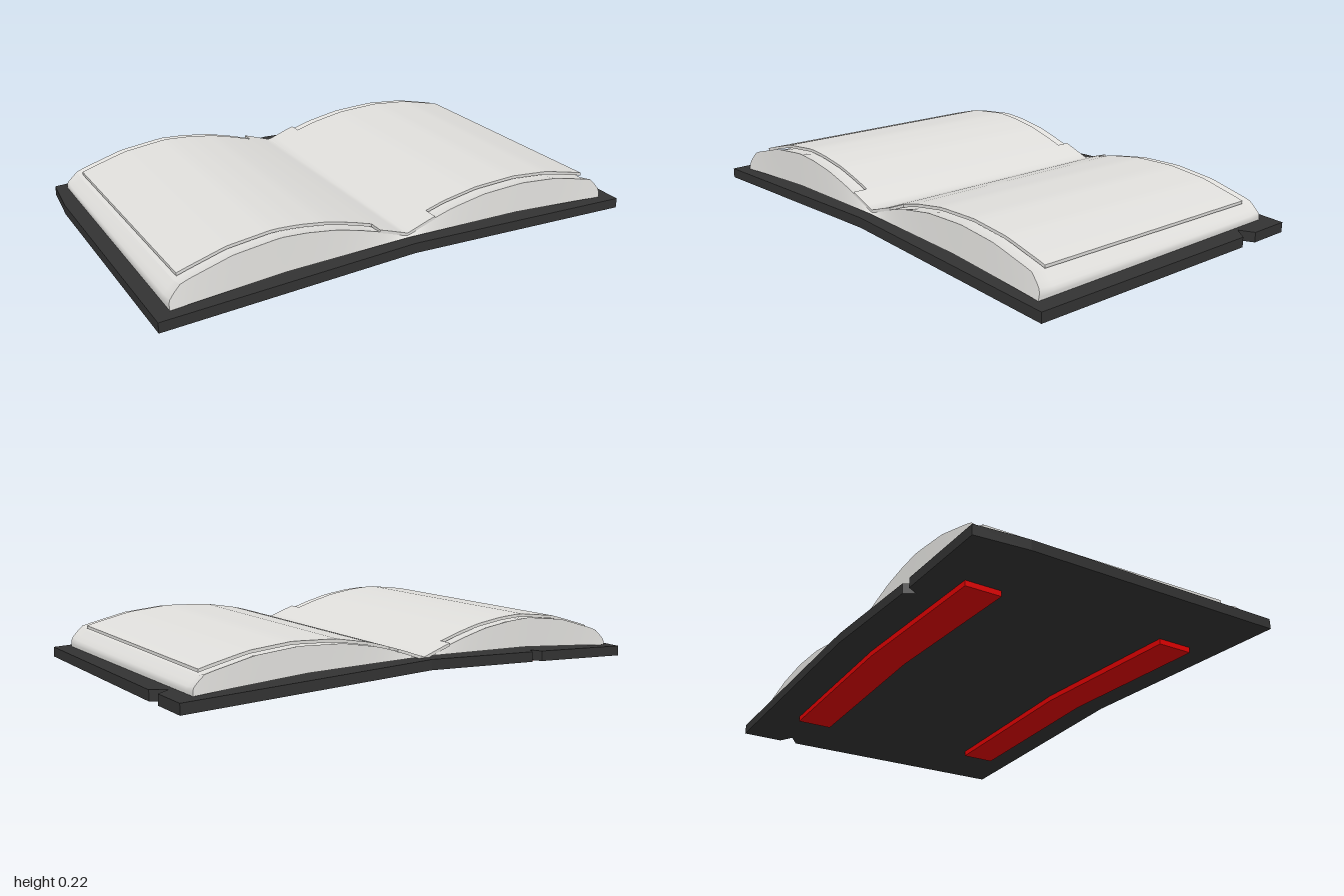
import * as THREE from 'three';

const mat = (name, color, side = THREE.FrontSide) => {
  const m = new THREE.MeshStandardMaterial({ color, side });
  m.name = name;
  return m;
};

// Piecewise linear lookup in a list of [x, y] points
function lookup(points, x) {
  for (let i = 1; i < points.length; i++) {
    const [x0, y0] = points[i - 1], [x1, y1] = points[i];
    if (x <= x1) return y0 + (y1 - y0) * (x - x0) / (x1 - x0);
  }
  return points[points.length - 1][1];
}

// Move every vertex of a geometry by a rule
function bend(geometry, rule) {
  const p = geometry.attributes.position;
  for (let i = 0; i < p.count; i++) p.setXYZ(i, ...rule(p.getX(i), p.getY(i), p.getZ(i)));
  geometry.computeVertexNormals();
  return geometry;
}

// The cover rises gently toward the spine
const coverRise = x => 0.04 * (1 - Math.abs(x));

// Curved top of the pages, measured outward from the spine
const topCurves = {
  left: [[0, 0.108], [0.1, 0.143], [0.2, 0.174], [0.3, 0.2], [0.42, 0.217], [0.52, 0.223], [0.7, 0.202], [0.88, 0.15], [0.94, 0.12]],
  right: [[0, 0.108], [0.1, 0.143], [0.2, 0.172], [0.35, 0.198], [0.53, 0.205], [0.7, 0.189], [0.88, 0.147], [0.94, 0.12]],
};
const underside = [[0, 0.095], [0.2, 0.091], [0.5, 0.085], [0.8, 0.064], [0.94, 0.053]];
const curveFor = x => (x < 0 ? topCurves.left : topCurves.right);

const tilt = z => 0.014 * (z - 0.51);

export function createModel() {
  const group = new THREE.Group();
  const coverMat = mat('charcoal cover', 0x333333);
  const pageMat = mat('pale page', 0xe0dfdc, THREE.DoubleSide);
  const strapMat = mat('red strap', 0xe00000);

  const add = (name, geometry, material) => {
    const mesh = new THREE.Mesh(geometry, material);
    mesh.name = name;
    group.add(mesh);
  };

  // Cover boards with nicks in the back and side edges, as [x, z]
  const outlines = {
    rightBoard: [[0, 0.625], [0, -0.63], [-0.505, -0.622], [-0.53, -0.58], [-0.555, -0.622], [-0.98, -0.628], [-1, -0.42], [-1, 0.628]],
    leftBoard: [[0, 0.625], [0.99, 0.622], [1, -0.39], [0.945, -0.43], [1, -0.465], [1, -0.635], [0, -0.63]],
  };
  for (const [name, pts] of Object.entries(outlines)) {
    const shape = new THREE.Shape(pts.map(([x, z]) => new THREE.Vector2(x, -z)));
    const geo = new THREE.ExtrudeGeometry(shape, { depth: 0.04, bevelEnabled: false });
    geo.rotateX(-Math.PI / 2);
    add(name, bend(geo, (x, y, z) => [x, y + 0.01 + coverRise(x), z]), coverMat);
  }

  // Straps set into the underside of the cover
  for (const z of [0.425, -0.42]) {
    const geo = new THREE.BoxGeometry(1.42, 0.026, 0.145, 2, 1, 1);
    add('strap', bend(geo, (x, y, dz) => [x, y + 0.0014 + coverRise(x), dz + z]), strapMat);
  }

  for (const side of [-1, 1]) {
    const curve = curveFor(side);
    const outer = side < 0 ? 0.94 : 0.93;
    const across = u => (side > 0 ? u : 1 - u);
    const rows = [-0.585, -0.53, 0.51, 0.58];

    // Page block, with a rounded fore edge and a shallow dip round the top sheet
    const block = new THREE.BoxGeometry(1, 1, 1, 28, 5, 3);
    add('pageBlock', bend(block, (bx, by, bz) => {
      const t = across(bx + 0.5), v = by + 0.5, row = Math.round((bz + 0.5) * 3);
      const lean = 0.045 * Math.max(0, (v - 0.4) / 0.6) ** 2;
      const out = t * (outer - lean);
      const dip = (row === 1 || row === 2) && out > 0.11 ? 0.02 : 0.009;
      const low = lookup(underside, out);
      const high = Math.max(low, lookup(curve, out) - dip + tilt(rows[row]));
      // Front and back walls lean in slightly toward the top
      const z = rows[row] - (row === 3 ? 0.012 * v : row === 0 ? -0.006 * v : 0);
      return [side * out, low + (high - low) * v, z];
    }), pageMat);

    // Top sheet, inset from the edges of the block
    const sheet = new THREE.BoxGeometry(1, 1, 1, 24, 1, 1);
    add('topSheet', bend(sheet, (bx, by, bz) => {
      const out = 0.12 + 0.765 * across(bx + 0.5), z = -0.01 + 1.04 * bz;
      return [side * out, lookup(curve, out) + tilt(z) + (by - 0.5) * 0.012, z];
    }), pageMat);
  }

  // Sheet running the full length of the gutter between the pages
  const gutter = new THREE.BoxGeometry(0.24, 0.012, 1.156, 8, 1, 1);
  add('gutterSheet', bend(gutter, (x, y, bz) => {
    const z = bz - 0.007;
    return [x, lookup(curveFor(x), Math.abs(x)) + tilt(z) + y - 0.006, z];
  }), pageMat);
  return group;
}
